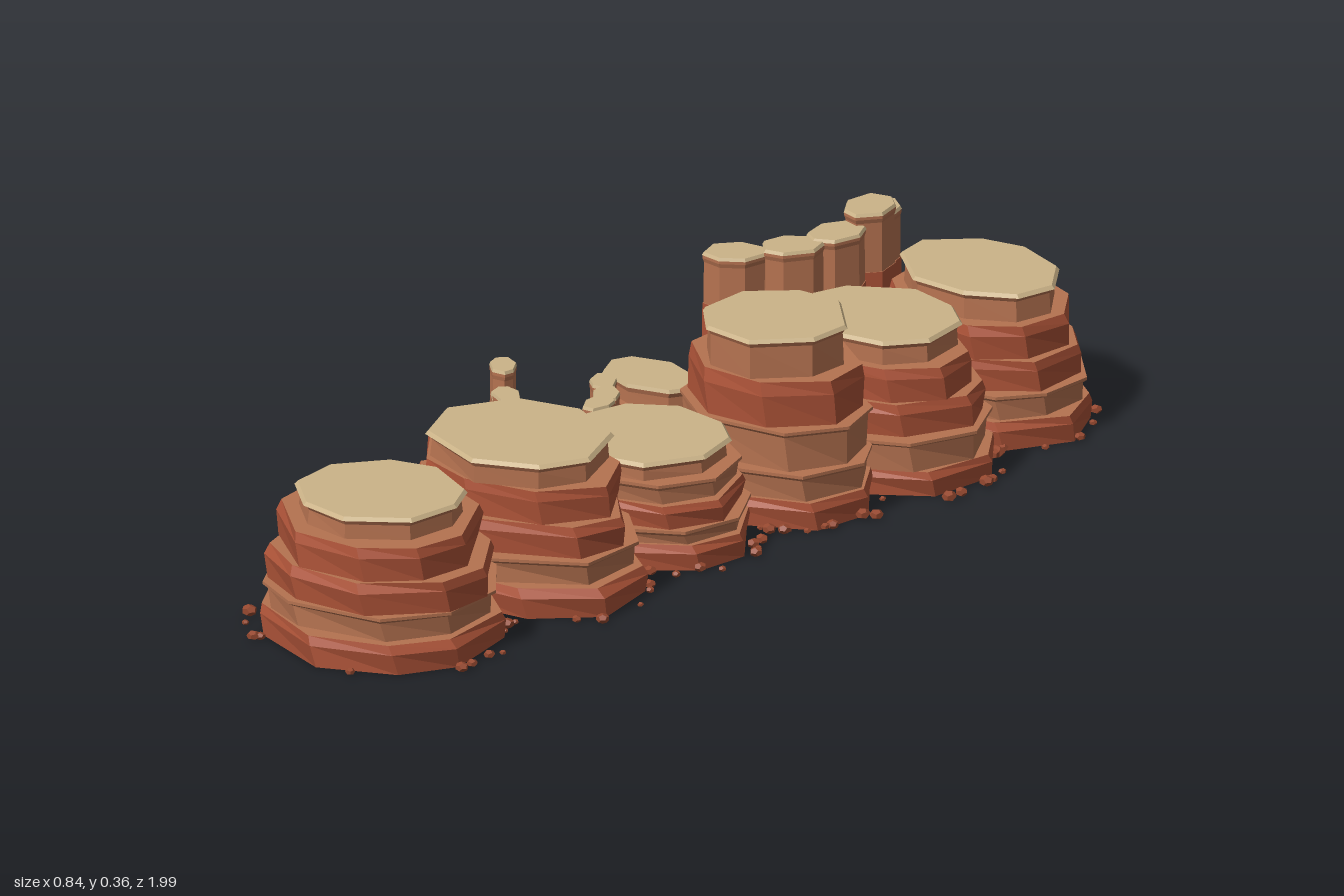
import * as THREE from 'three';
import { mergeGeometries } from 'three/addons/utils/BufferGeometryUtils.js';

// small seeded random generator
let seed = 7;
const rnd = () => {
  seed = (seed * 16807) % 2147483647;
  return seed / 2147483647;
};
const vary = (a) => 1 + (rnd() * 2 - 1) * a;

// double-sided because every layer is an open-bottomed shell
const mat = (name, color) => {
  const m = new THREE.MeshStandardMaterial({ color, side: THREE.DoubleSide });
  m.name = name;
  return m;
};

const spread = (n, turn) =>
  Array.from({ length: n }, (_, i) => turn + ((i + (rnd() - 0.5) * 0.35) / n) * Math.PI * 2);

// faceted shell through a stack of rings; group 0 is the sides, group 1 the top
function loft(rings) {
  const sides = [];
  const lid = [];
  const top = rings.at(-1);
  const n = top.length;
  const mid = [0, 1, 2].map((i) => top.reduce((s, p) => s + p[i], 0) / n);
  for (let i = 0; i < n; i++) {
    const j = (i + 1) % n;
    for (let k = 0; k + 1 < rings.length; k++) {
      const [a, b, c, d] = [rings[k][i], rings[k][j], rings[k + 1][j], rings[k + 1][i]];
      sides.push(...a, ...d, ...c, ...a, ...c, ...b);
    }
    lid.push(...mid, ...top[j], ...top[i]);
  }
  const g = new THREE.BufferGeometry();
  g.setAttribute('position', new THREE.Float32BufferAttribute([...sides, ...lid], 3));
  g.addGroup(0, sides.length / 3, 0);
  g.addGroup(sides.length / 3, lid.length / 3, 1);
  g.computeVertexNormals();
  return g;
}

export function createModel() {
  const model = new THREE.Group();
  model.name = 'mesaRidge';
  const mats = {
    r: mat('red clay', 0xab5237),
    t: mat('tan sandstone', 0xb57250),
    s: mat('pale sand', 0xcbb388),
    b: mat('brown rubble', 0x95482f),
  };
  const add = (parent, name, geometry, material) => {
    const m = new THREE.Mesh(geometry, material);
    m.name = name;
    parent.add(m);
  };

  // layered mesa: red and tan strata with tan ledges, and a sand cap
  function mesa(name, { x, z, rx, rz, cap, ys, colors, scales, sides }) {
    const g = new THREE.Group();
    g.name = name;
    const turn = rnd() * 6;
    for (let k = 0; k < colors.length; k++) {
      const [y0, y1] = [ys[k], ys[k + 1]];
      const last = k === colors.length - 1;
      const [ax, az] = last ? cap : [rx * scales[k], rz * scales[k]];
      const angles = spread(sides, turn + k * 0.12);
      const shape = angles.map(() => vary(last ? 0.03 : 0.04));
      const level = (y, s, twist = 0, wobble = 0.008) =>
        angles.map((a, i) => {
          const f = s * shape[i] * vary(wobble);
          return [x + Math.cos(a + twist) * ax * f, y, z + Math.sin(a + twist) * az * f];
        });
      let rings;
      if (last) rings = [level(y0, 0.97), level(y1 - 0.01, 0.96), level(y1, 1, 0, 0)];
      else if (colors[k] === 't') {
        const lip = level(y1, 1.02, 0.05);
        rings = [level(y0, 0.96), level(y1 - 0.012, 0.98, 0.05), lip.map((p) => [p[0], y1 - 0.006, p[2]]), lip];
      } else rings = [level(y0, 0.99), level(y0 + (y1 - y0) * 0.7, 1.01, 0.05, 0.015), level(y1, 0.98, 0.08, 0.015)];
      add(g, 'stratum' + (k + 1), loft(rings), [mats[colors[k]], mats.t]);
      if (last) {
        add(g, 'sandCap', loft([level(y1, 1.03, 0, 0), level(y1 + 0.007, 0.99, 0, 0)]), [mats.s, mats.s]);
      }
    }
    model.add(g);
  }

  const five = [0, 0.058, 0.108, 0.17, 0.235];
  const ridge = [
    { x: 0.15, z: 0.765, rx: 0.24, rz: 0.222, cap: [0.162, 0.155], ys: [...five, 0.273], colors: 'rtrrt', scales: [1, 0.96, 0.94, 0.83], sides: 9 },
    { x: 0.12, z: 0.385, rx: 0.27, rz: 0.195, cap: [0.185, 0.165], ys: [...five, 0.278], colors: 'rtrrt', scales: [1, 0.95, 0.87, 0.81], sides: 8 },
    { x: 0.13, z: 0.07, rx: 0.215, rz: 0.18, cap: [0.16, 0.148], ys: [0, 0.05, 0.08, 0.125, 0.165, 0.195], colors: 'rtrtt', scales: [1, 0.98, 0.92, 0.86], sides: 9 },
    { x: 0.142, z: -0.245, rx: 0.21, rz: 0.175, cap: [0.14, 0.14], ys: [0, 0.055, 0.11, 0.19, 0.278, 0.35], colors: 'rttrt', scales: [1, 0.96, 0.92, 0.84], sides: 8 },
    { x: 0.142, z: -0.515, rx: 0.237, rz: 0.185, cap: [0.162, 0.135], ys: [0, 0.05, 0.112, 0.175, 0.24, 0.281], colors: 'rtrrt', scales: [1, 0.97, 0.9, 0.8], sides: 9 },
    { x: 0.088, z: -0.818, rx: 0.235, rz: 0.176, cap: [0.168, 0.127], ys: [0, 0.055, 0.105, 0.165, 0.23, 0.28], colors: 'rtrrt', scales: [1, 0.97, 0.91, 0.84], sides: 9 },
  ];
  ridge.forEach((m, i) => mesa('mesa' + (i + 1), m));
  mesa('smallMesa', { x: -0.185, z: -0.232, rx: 0.122, rz: 0.084, cap: [0.102, 0.068], ys: [0, 0.045, 0.075, 0.11, 0.143], colors: 'rtrt', scales: [1, 0.97, 0.95], sides: 8 });

  // curved wall of two-tone pillars, each stretched along the wall
  function fin(name, points, long, wide, split) {
    points.forEach(([x, z, h], i) => {
      const g = new THREE.Group();
      g.name = name + (i + 1);
      const from = points[Math.max(i - 1, 0)];
      const to = points[Math.min(i + 1, points.length - 1)];
      const dir = Math.atan2(to[1] - from[1], to[0] - from[0]);
      const [c, s] = [Math.cos(dir), Math.sin(dir)];
      const angles = spread(7, rnd());
      const at = (y, k) =>
        angles.map((a) => {
          const [u, v] = [Math.cos(a) * long * k, Math.sin(a) * wide * k];
          return [x + u * c - v * s, y, z + u * s + v * c];
        });
      const seam = split * h;
      add(g, 'lowerShaft', loft([at(0, 1.02), at(seam, 1)]), [mats.r, mats.t]);
      add(g, 'upperShaft', loft([at(seam, 0.97), at(h - 0.02, 0.95), at(h - 0.012, 1), at(h - 0.006, 1)]), [mats.t, mats.t]);
      add(g, 'sandCap', loft([at(h - 0.006, 1.02), at(h, 0.95)]), [mats.s, mats.s]);
      model.add(g);
    });
  }

  fin('tallPillar', [
    [-0.308, -0.922, 0.265], [-0.24, -0.842, 0.31], [-0.226, -0.745, 0.287],
    [-0.24, -0.645, 0.283], [-0.318, -0.572, 0.267],
  ], 0.062, 0.047, 0.62);

  fin('lowPillar', [
    [-0.382, -0.042, 0.163], [-0.32, 0.012, 0.136], [-0.257, 0.064, 0.168], [-0.175, 0.098, 0.15],
    [-0.118, 0.045, 0.115], [-0.092, -0.015, 0.178], [-0.15, -0.088, 0.16], [-0.21, -0.137, 0.155],
  ], 0.041, 0.026, 0.52);

  // rubble scattered round the foot of the mesas
  const stones = [];
  for (const m of ridge) {
    for (let i = 0; i < 24; i++) {
      const a = rnd() * Math.PI * 2;
      const k = 0.99 + rnd() * 0.13;
      const x = m.x + Math.cos(a) * m.rx * k;
      const z = m.z + Math.sin(a) * m.rz * k;
      const r = 0.006 + rnd() * 0.009;
      const buried = ridge.some((o) => o !== m && Math.hypot((x - o.x) / o.rx, (z - o.z) / o.rz) < 0.97);
      if (buried || Math.abs(z) > 0.985) continue;
      const s = new THREE.DodecahedronGeometry(r, 0);
      s.rotateY(rnd() * 6).scale(1, 0.75, 1).translate(x, r * 0.7, z);
      stones.push(s);
    }
  }
  add(model, 'rubble', mergeGeometries(stones), mats.b);

  // rest on the ground and centre along the ridge
  const box = new THREE.Box3().setFromObject(model);
  model.position.set(0, -box.min.y, -(box.min.z + box.max.z) / 2);
  return model;
}
